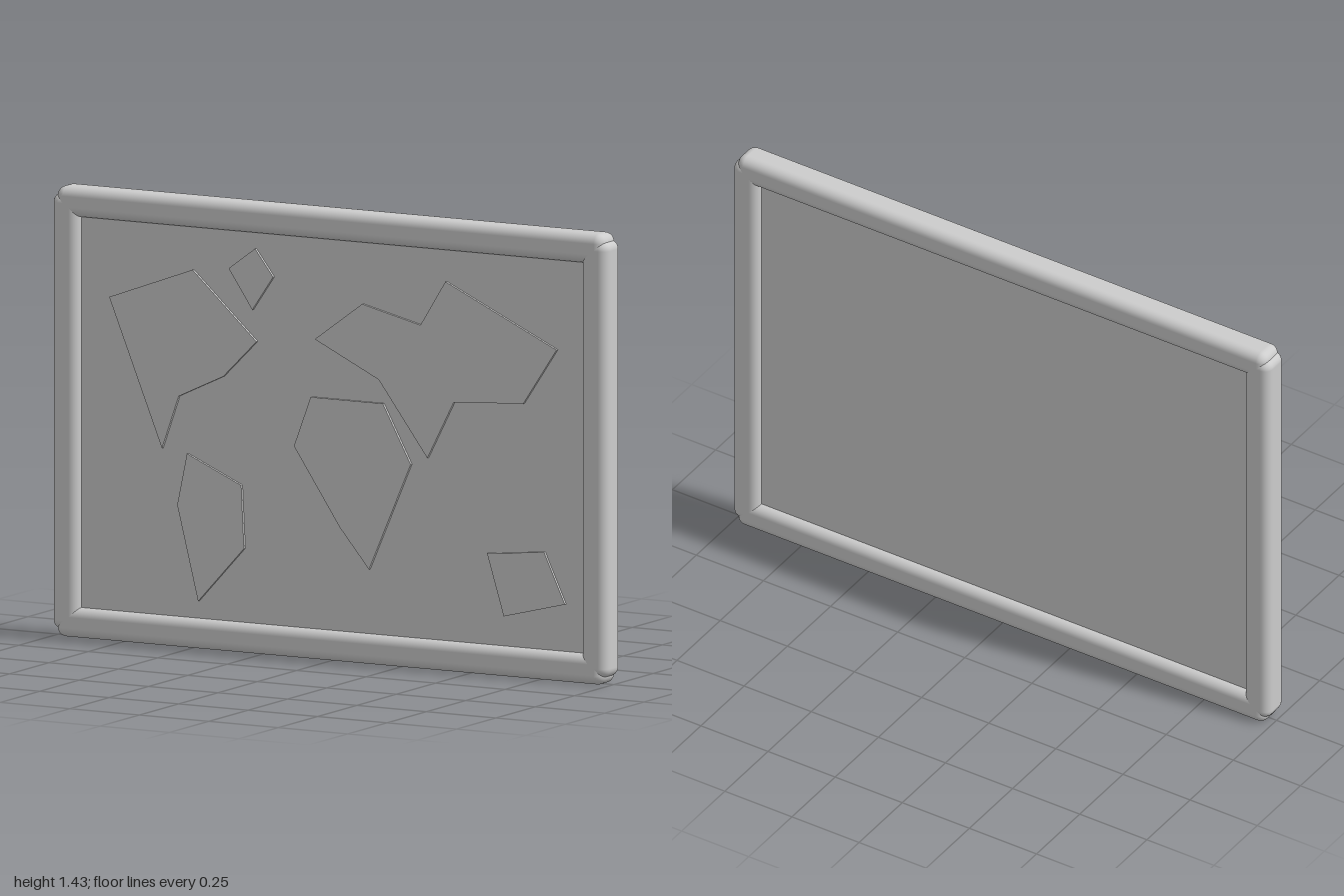
import * as THREE from 'three';
import { RoundedBoxGeometry } from 'three/addons/geometries/RoundedBoxGeometry.js';

const W = 2, H = 1.43, BAR = 0.095, DEPTH = 0.1, PANEL = 0.04;

// Outlines of the raised land plates, in x and y
const LANDS = {
  northWestLand: [[-0.8, 1.09], [-0.5, 1.2], [-0.27, 0.99], [-0.39, 0.87], [-0.55, 0.795], [-0.61, 0.625]],
  northIsland: [[-0.37, 1.215], [-0.275, 1.285], [-0.21, 1.2], [-0.285, 1.09]],
  southWestLand: [[-0.52, 0.615], [-0.325, 0.53], [-0.315, 0.33], [-0.48, 0.15], [-0.555, 0.45]],
  northEastLand: [[-0.06, 1.015], [0.11, 1.14], [0.32, 1.09], [0.41, 1.235], [0.81, 1.05],
    [0.69, 0.87], [0.44, 0.855], [0.345, 0.67], [0.17, 0.905]],
  southCentralLand: [[-0.075, 0.83], [0.185, 0.83], [0.285, 0.645], [0.135, 0.3], [0.03, 0.425], [-0.135, 0.67]],
  southEastIsland: [[0.56, 0.385], [0.765, 0.405], [0.84, 0.245], [0.62, 0.19]],
};

export function createModel() {
  const group = new THREE.Group();
  group.name = 'framedMap';
  const grey = new THREE.MeshStandardMaterial({ color: 0xcccccc });
  grey.name = 'lightGrey';

  const add = (name, geometry, x, y, z) => {
    const mesh = new THREE.Mesh(geometry, grey);
    mesh.name = name;
    mesh.position.set(x, y, z);
    group.add(mesh);
  };

  // Backing panel, recessed on both sides
  add('panel', new THREE.BoxGeometry(W - BAR * 1.5, H - BAR * 1.5, PANEL), 0, H / 2, 0);

  // Rounded frame bars, crossing at the corners
  for (const s of [-1, 1]) {
    add(s > 0 ? 'topBar' : 'bottomBar', new RoundedBoxGeometry(1.97, BAR, DEPTH, 4, 0.03),
      0, H / 2 + s * (H - BAR) / 2, 0);
    add(s > 0 ? 'leftBar' : 'rightBar', new RoundedBoxGeometry(BAR, 1.385, DEPTH, 4, 0.03),
      s * (W - BAR) / 2, H / 2, 0);
  }

  // Thin land plates on the front
  for (const [name, outline] of Object.entries(LANDS)) {
    const shape = new THREE.Shape(outline.map(([x, y]) => new THREE.Vector2(x, y)));
    add(name, new THREE.ExtrudeGeometry(shape, { depth: 0.009, bevelEnabled: false }), 0, 0, PANEL / 2);
  }
  return group;
}
